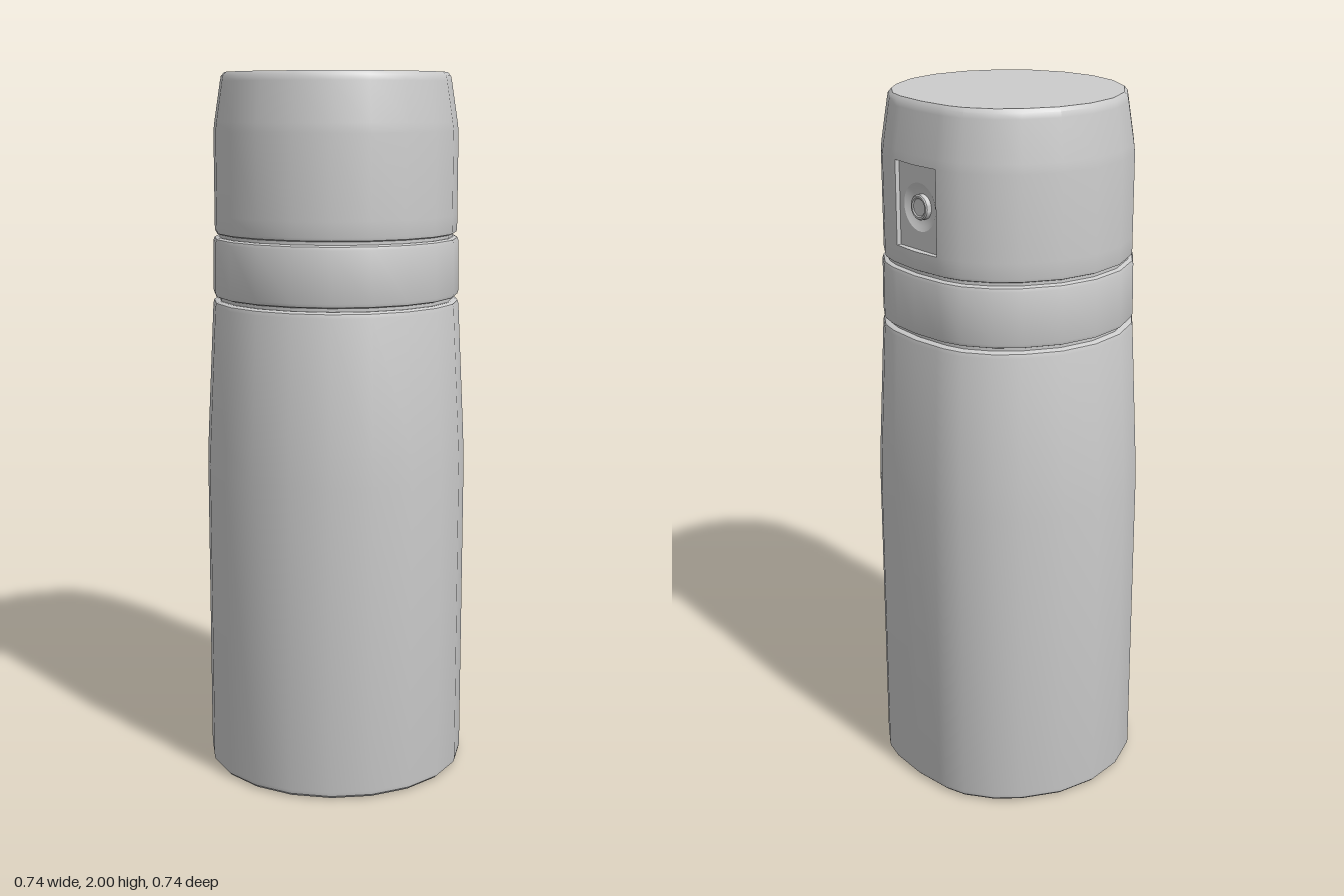
import * as THREE from 'three';
import { toCreasedNormals } from 'three/addons/utils/BufferGeometryUtils.js';

const R = 0.373, CX = 0.004;
const LID_R = 0.343, PANEL = { w: 0.083, y0: 1.61, y1: 1.84, floor: 0.318 };
const material = new THREE.MeshStandardMaterial({ color: 0xcccccc });

// Cross-section [x, z] as fractions of the radius: faceted circle, flattened on +x
function makeSection() {
  const half = [[0.364, 0], [0.3561, PANEL.w * R / LID_R], [0.354, 0.115], [0.336, 0.175],
    [0.284, 0.25], [0.221, 0.303], [0.115, 0.356]];
  for (let i = 5; i <= 10; i++) {
    const a = i * Math.PI / 10;
    half.push([R * Math.cos(a), R * Math.sin(a)]);
  }
  const mirrored = half.slice(1, -1).reverse().map(([x, z]) => [x, -z]);
  return [...half, ...mirrored].map(([x, z]) => [x / R, z / R]);
}
const section = makeSection();
const N = section.length;
const point = (r, y, j) => {
  const [x, z] = section[(j + N) % N];
  return [CX + x * r, y, z * r];
};

function mesh(name, triangles, crease = 0.6) {
  const geo = new THREE.BufferGeometry();
  geo.setAttribute('position', new THREE.Float32BufferAttribute(triangles.flat(), 3));
  const m = new THREE.Mesh(toCreasedNormals(geo, crease), material);
  m.name = name;
  return m;
}

// Loft the section through a [radius, y] profile, bottom to top
function loft(name, profile, skip = () => false) {
  const tris = [];
  for (let i = 0; i < profile.length - 1; i++) {
    const [r0, y0] = profile[i], [r1, y1] = profile[i + 1];
    for (let j = 0; j < N; j++) {
      if (skip(y0, j)) continue;
      const a = point(r0, y0, j), b = point(r0, y0, j + 1);
      const c = point(r1, y1, j + 1), d = point(r1, y1, j);
      if (r1 > 0) tris.push(a, d, c);
      if (r0 > 0) tris.push(a, c, b);
    }
  }
  return mesh(name, tris);
}

// Recess walls, from the opening in the lid back to the flat floor
function recessWalls() {
  const { y0, y1, floor } = PANEL;
  const rim = [...[-1, 0, 1].map(j => point(LID_R, y0, j)), ...[1, 0, -1].map(j => point(LID_R, y1, j))];
  const tris = [];
  rim.forEach((a, i) => {
    const b = rim[(i + 1) % rim.length];
    const c = [floor, b[1], b[2]], d = [floor, a[1], a[2]];
    tris.push(a, b, c, a, c, d);
  });
  const m = mesh('recessWalls', tris, 0.3);
  m.material = material.clone();
  m.material.side = THREE.DoubleSide;
  return m;
}

export function createModel() {
  const model = new THREE.Group();
  model.name = 'flask';

  model.add(loft('body', [[0, 0], [0.352, 0], [0.362, 0.003], [0.37, 0.011], [0.372, 0.022],
    [0.372, 0.9], [0.369, 0.98], [0.35, 1.355], [0.347, 1.366], [0.338, 1.371], [0, 1.371]]));
  model.add(loft('neckCore', [[0.332, 1.365], [0.332, 1.565]]));
  model.add(loft('collar', [[0, 1.381], [0.338, 1.381], [0.346, 1.384], [0.349, 1.393],
    [0.347, 1.535], [0.344, 1.544], [0.336, 1.548], [0, 1.548]]));

  // Lid, left open where the button panel is set in
  model.add(loft('lid', [[0, 1.557], [0.334, 1.557], [0.341, 1.56], [LID_R, 1.568],
    [LID_R, PANEL.y0], [LID_R, PANEL.y1], [0.34, 1.865], [0.323, 1.975], [0.32, 1.99],
    [0.311, 2], [0, 2]], (y, j) => y === PANEL.y0 && (j === 0 || j === N - 1)));

  // Button panel, built facing +z and turned to face +x
  const panel = new THREE.Group();
  panel.name = 'buttonPanel';
  const midY = (PANEL.y0 + PANEL.y1) / 2, h = (PANEL.y1 - PANEL.y0) / 2, w = PANEL.w;
  const plate = new THREE.Shape([[-w, -h], [w, -h], [w, h], [-w, h]].map(p => new THREE.Vector2(...p)));
  plate.holes.push(new THREE.Path().absarc(0, 0, 0.065, 0, Math.PI * 2, true));
  const floor = new THREE.Mesh(new THREE.ShapeGeometry(plate, 16), material);
  floor.name = 'recessFloor';

  const lathe = (name, pts) => {
    const geo = new THREE.LatheGeometry(pts.map(p => new THREE.Vector2(...p)), 32);
    const m = new THREE.Mesh(toCreasedNormals(geo.rotateX(Math.PI / 2), 0.6), material);
    m.material = material.clone();
    m.material.side = THREE.DoubleSide;
    m.name = name;
    return m;
  };
  const dish = lathe('dish', [[0.0001, -0.014], [0.035, -0.012], [0.052, -0.007], [0.065, 0]]);
  const button = lathe('button', [[0.034, -0.014], [0.034, 0.002], [0.031, 0.005],
    [0.026, 0.005], [0.023, 0.002], [0.0001, 0.001]]);
  panel.add(floor, dish, button);
  panel.rotation.y = Math.PI / 2;
  panel.position.set(PANEL.floor, midY, 0);
  model.add(panel, recessWalls());
  return model;
}
